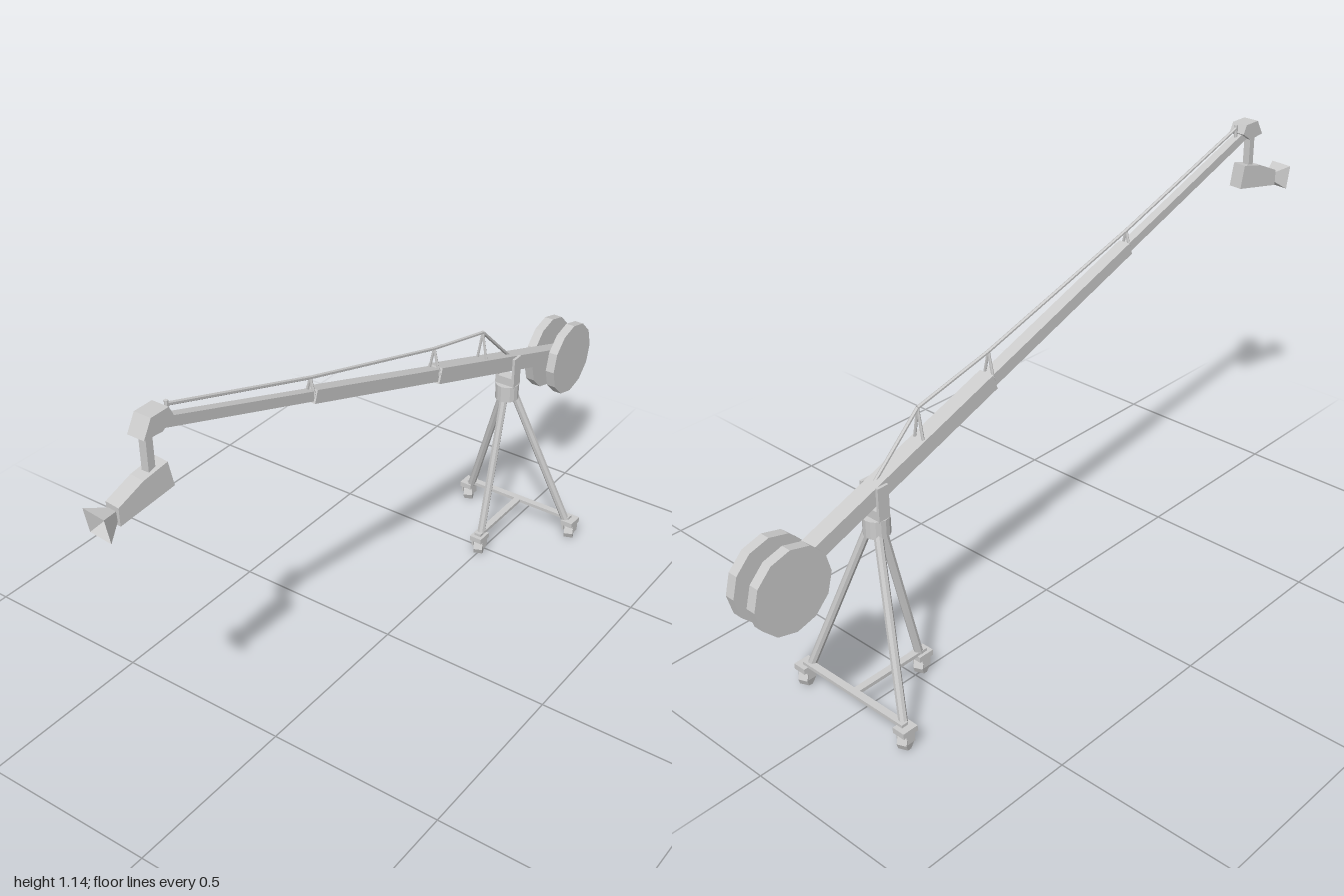
import * as THREE from 'three';

const mat = new THREE.MeshStandardMaterial({ color: 0xcccccc, flatShading: true });
const thinMat = new THREE.MeshStandardMaterial({ color: 0xcccccc, flatShading: true, side: THREE.DoubleSide });
const V = (x, y, z) => new THREE.Vector3(x, y, z);

export function createModel() {
  const model = new THREE.Group();
  model.name = 'cameraCrane';

  function add(name, geo, x = 0, y = 0, z = 0, parent = model, material = mat) {
    const m = new THREE.Mesh(geo, material);
    m.name = name;
    m.position.set(x, y, z);
    parent.add(m);
    return m;
  }
  // Square bar between two points
  function bar(name, a, b, w, h = w) {
    const c = a.clone().add(b).multiplyScalar(0.5);
    const m = add(name, new THREE.BoxGeometry(w, h, a.distanceTo(b)), c.x, c.y, c.z);
    m.lookAt(b);
    return m;
  }
  // Round rod between two points
  function rod(name, a, b, r, sides = 6) {
    const c = a.clone().add(b).multiplyScalar(0.5);
    const g = new THREE.CylinderGeometry(r, r, a.distanceTo(b), sides).rotateX(Math.PI / 2);
    const m = add(name, g, c.x, c.y, c.z);
    m.lookAt(b);
    return m;
  }
  // Solid from a side profile of [z, y] points, centred on x
  function sideProfile(points, width) {
    const s = new THREE.Shape(points.map(([z, y]) => new THREE.Vector2(z, y)));
    return new THREE.ExtrudeGeometry(s, { depth: width, bevelEnabled: false })
      .translate(0, 0, -width / 2).rotateY(-Math.PI / 2);
  }

  // Telescopic boom
  const onArm = (z, x = 0) => V(x, 0.815 + 0.36 * z, z);
  bar('boomRear', onArm(-0.92), onArm(-0.21), 0.045, 0.044);
  bar('boomMiddle', onArm(-0.22), onArm(0.31), 0.034, 0.034);
  bar('boomFront', onArm(0.3), onArm(0.83), 0.024, 0.025);

  // Counterweights
  for (const s of [-1, 1]) {
    const g = new THREE.CylinderGeometry(0.11, 0.11, 0.027, 12).rotateZ(Math.PI / 2);
    add('counterweight', g, s * 0.0365, 0.49, -0.89);
  }

  // Tension cable and its struts
  const cable = [V(0, 0.62, -0.595), V(0, 0.757, -0.45), V(0, 0.815, -0.21), V(0, 0.973, 0.31), V(0, 1.133, 0.78)];
  for (let i = 1; i < cable.length; i++) rod('tensionCable', cable[i - 1], cable[i], 0.005);
  [0.018, 0.017, 0.012].forEach((x, i) => {
    const top = cable[i + 1];
    for (const s of [-1, 1]) rod('cableStrut', onArm(top.z, s * x), top, 0.004);
  });
  rod('cableStrut', onArm(0.78), V(0, 1.142, 0.78), 0.005);

  // Boom head and drop post
  add('boomHead', sideProfile([[0.875, 1.1], [0.85, 1.142], [0.797, 1.142], [0.785, 1.118], [0.82, 1.095]], 0.046));
  add('dropPost', new THREE.BoxGeometry(0.02, 0.12, 0.02), 0, 1.05, 0.848);

  // Film camera, turned slightly to one side
  const camera = new THREE.Group();
  camera.name = 'filmCamera';
  camera.position.set(0, 0, 0.85);
  camera.rotation.y = -0.1;
  model.add(camera);
  add('cameraBody', sideProfile(
    [[0.1, 0.93], [0.1, 0.975], [0.03, 1.006], [-0.037, 1.02], [-0.05, 0.955]], 0.04), 0, 0, 0, camera);
  const hood = new THREE.CylinderGeometry(0.033 * Math.SQRT2, 0.011 * Math.SQRT2, 0.045, 4, 1, true)
    .rotateY(Math.PI / 4).rotateX(Math.PI / 2);
  add('lensHood', hood, 0, 0.949, 0.121, camera, thinMat).rotation.x = 0.17;
  add('lens', new THREE.BoxGeometry(0.02, 0.02, 0.03), 0, 0.953, 0.095, camera).rotation.x = 0.17;

  // Pivot collar and yoke
  const pz = -0.597;
  add('pivotCollar', new THREE.CylinderGeometry(0.034, 0.034, 0.048, 16), 0, 0.506, pz);
  add('yokeBase', new THREE.BoxGeometry(0.06, 0.03, 0.034), 0, 0.54, pz);
  for (const s of [-1, 1]) add('yokePlate', new THREE.BoxGeometry(0.008, 0.09, 0.034), s * 0.027, 0.575, pz);

  // Tripod legs with castors
  const feet = [[0, -0.476], [-0.181, -0.703], [0.181, -0.703]];
  for (const [x, z] of feet) {
    rod('leg', V(x * 0.1, 0.49, pz + (z - pz) * 0.12), V(x * 0.93, 0.058, z + (pz - z) * 0.06), 0.0115, 8);
    add('castorBracket', new THREE.BoxGeometry(0.038, 0.016, 0.046), x, 0.054, z);
    for (const s of [-1, 1]) {
      add('castorFork', new THREE.BoxGeometry(0.005, 0.03, 0.026), x + s * 0.0165, 0.037, z);
    }
    const wheel = new THREE.CylinderGeometry(0.025, 0.025, 0.026, 8).rotateX(Math.PI / 8).rotateZ(Math.PI / 2);
    add('castorWheel', wheel, x, 0.0231, z);
  }

  // T-shaped spreader
  bar('rearSpreader', V(-0.181, 0.065, -0.703), V(0.181, 0.065, -0.703), 0.02, 0.01);
  bar('centreSpreader', V(0, 0.065, -0.703), V(0, 0.065, -0.465), 0.02, 0.01);

  return model;
}
